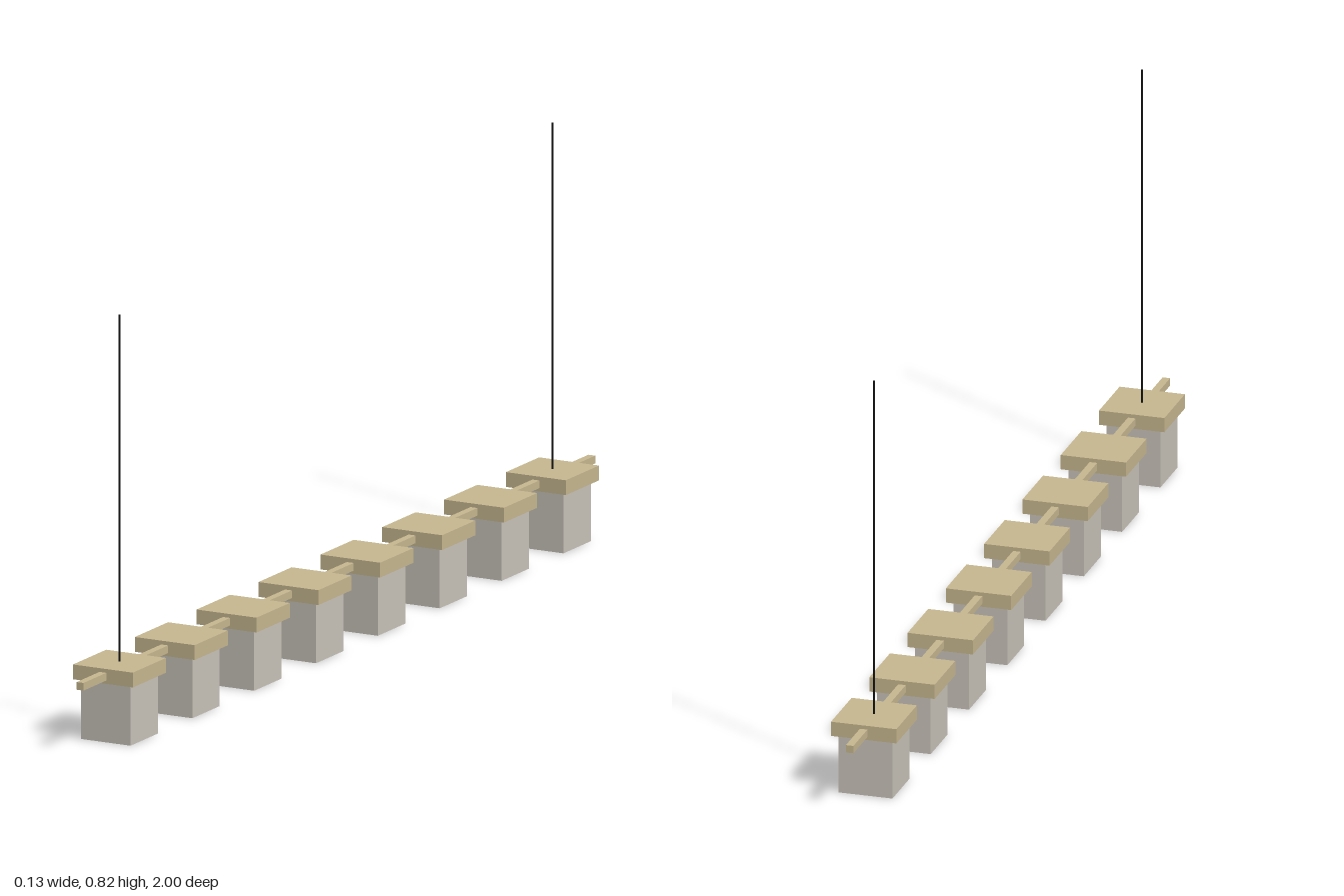
import * as THREE from 'three';

export function createModel() {
  const model = new THREE.Group();
  model.name = 'linearPendantLamp';

  const material = (name, color) => {
    const m = new THREE.MeshStandardMaterial({ color });
    m.name = name;
    return m;
  };
  const wood = material('paleWood', 0xc8b890);
  const glass = material('frostedGlass', 0xc9c4ba);
  const black = material('blackCable', 0x111111);

  const add = (parent, name, geometry, mat, y, z = 0) => {
    const mesh = new THREE.Mesh(geometry, mat);
    mesh.name = name;
    mesh.position.set(0, y, z);
    parent.add(mesh);
  };

  // Long square rail that threads through all the caps
  add(model, 'rail', new THREE.BoxGeometry(0.015, 0.015, 2), wood, 0.132);

  // Row of cube shades, each under a wider wooden cap
  const count = 8, end = 0.846;
  const capGeometry = new THREE.BoxGeometry(0.13, 0.029, 0.13);
  const shadeGeometry = new THREE.BoxGeometry(0.107, 0.118, 0.107);
  for (let i = 0; i < count; i++) {
    const lamp = new THREE.Group();
    lamp.name = 'lamp' + (i + 1);
    lamp.position.z = end - (2 * end * i) / (count - 1);
    add(lamp, 'cap', capGeometry, wood, 0.1325);
    add(lamp, 'shade', shadeGeometry, glass, 0.059);
    model.add(lamp);
  }

  // Suspension cables rising from the two end caps
  const cableGeometry = new THREE.CylinderGeometry(0.0022, 0.0022, 0.68, 12);
  for (const side of [1, -1]) {
    add(model, side > 0 ? 'frontCable' : 'backCable', cableGeometry, black, 0.485, side * end);
  }

  return model;
}
